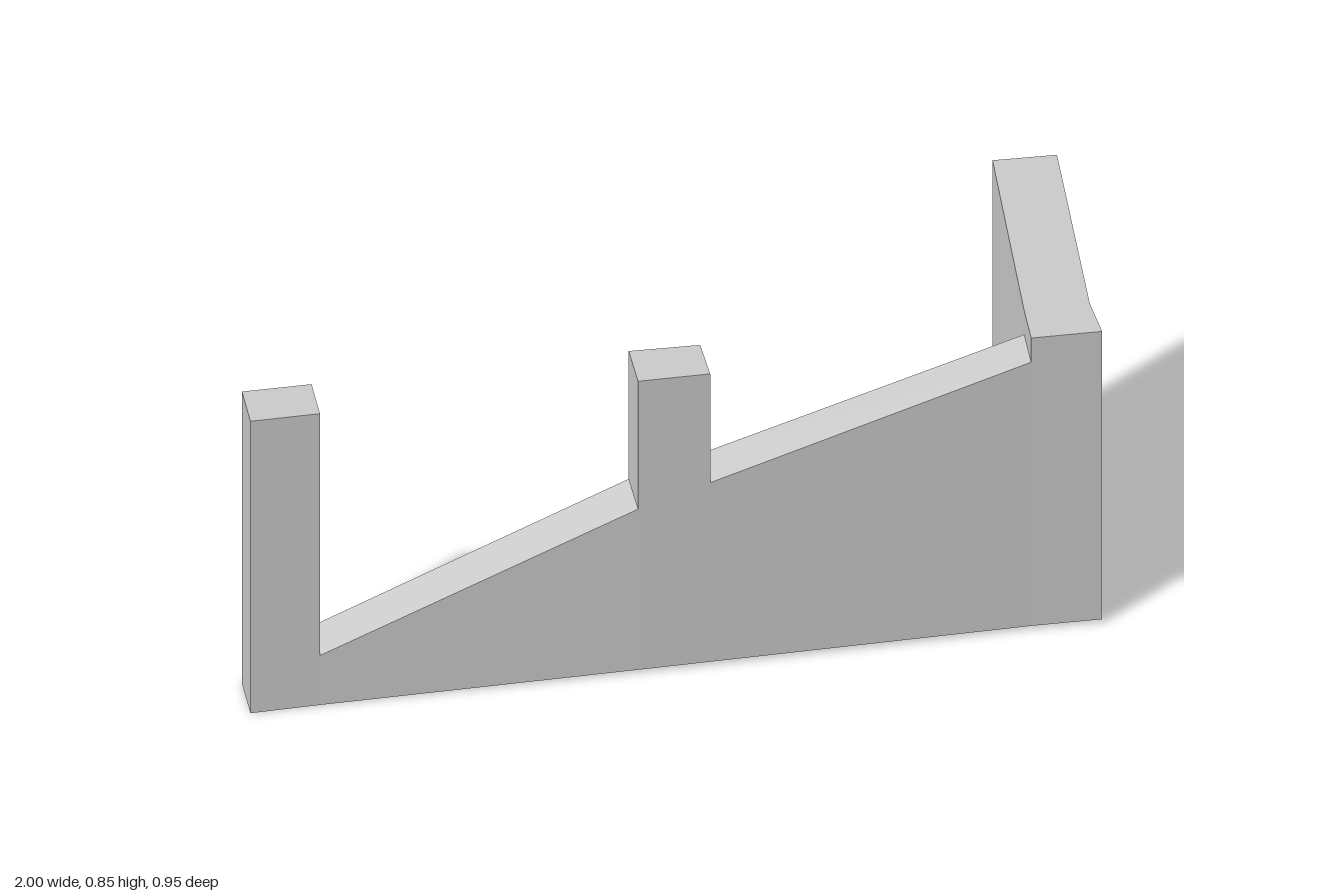
import * as THREE from 'three';

const material = new THREE.MeshStandardMaterial({ color: 0xcccccc, flatShading: true });

// The underside rises very slightly from the left end to the corner.
const floorY = (x) => THREE.MathUtils.clamp((x + 1) * 0.011, 0, 0.012);

// Upright block over a plan outline of [x, z] corners, anticlockwise from above.
// topAt gives the height of the top at each x.
function prism(name, outline, topAt) {
  const n = outline.length;
  const positions = [];
  const index = [];
  for (const height of [floorY, topAt]) {
    for (const [x, z] of outline) positions.push(x, height(x), z);
  }
  for (let i = 0; i < n; i++) {
    const j = (i + 1) % n;
    index.push(i, j, n + j, i, n + j, n + i);
    if (i > 0 && i < n - 1) index.push(0, i + 1, i, n, n + i, n + i + 1);
  }
  const indexed = new THREE.BufferGeometry();
  indexed.setAttribute('position', new THREE.Float32BufferAttribute(positions, 3));
  indexed.setIndex(index);
  const geometry = indexed.toNonIndexed();
  geometry.computeVertexNormals();
  const mesh = new THREE.Mesh(geometry, material);
  mesh.name = name;
  return mesh;
}

export function createModel() {
  const model = new THREE.Group();
  model.name = 'cornerWall';
  const postTop = () => 0.845;

  // Plan corners: back left, front left, front right, back right
  const endPost = [[-1, 0.36], [-0.985, 0.475], [-0.823, 0.452], [-0.838, 0.338]];
  const middlePost = [[-0.1, 0.24], [-0.083, 0.357], [0.085, 0.335], [0.066, 0.223]];
  // Corner pier and the full-height return wall running back from it
  const returnWall = [[0.973, 0.1], [0.92, -0.475], [0.77, -0.46],
    [0.82, 0.12], [0.832, 0.227], [0.997, 0.208]];

  model.add(prism('endPost', endPost, postTop));
  model.add(prism('middlePost', middlePost, postTop));
  model.add(prism('returnWall', returnWall, postTop));

  // Sloping-topped panel filling the gap between two supports
  function panel(name, outline, x0, y0, x1, y1) {
    model.add(prism(name, outline, (x) => THREE.MathUtils.mapLinear(THREE.MathUtils.clamp(x, x0, x1), x0, x1, y0, y1)));
  }
  panel('lowPanel', [endPost[3], endPost[2], middlePost[1], middlePost[0]], -0.823, 0.145, -0.1, 0.475);
  panel('highPanel', [middlePost[3], middlePost[2], returnWall[4], returnWall[3]], 0.085, 0.53, 0.82, 0.775);

  return model;
}
